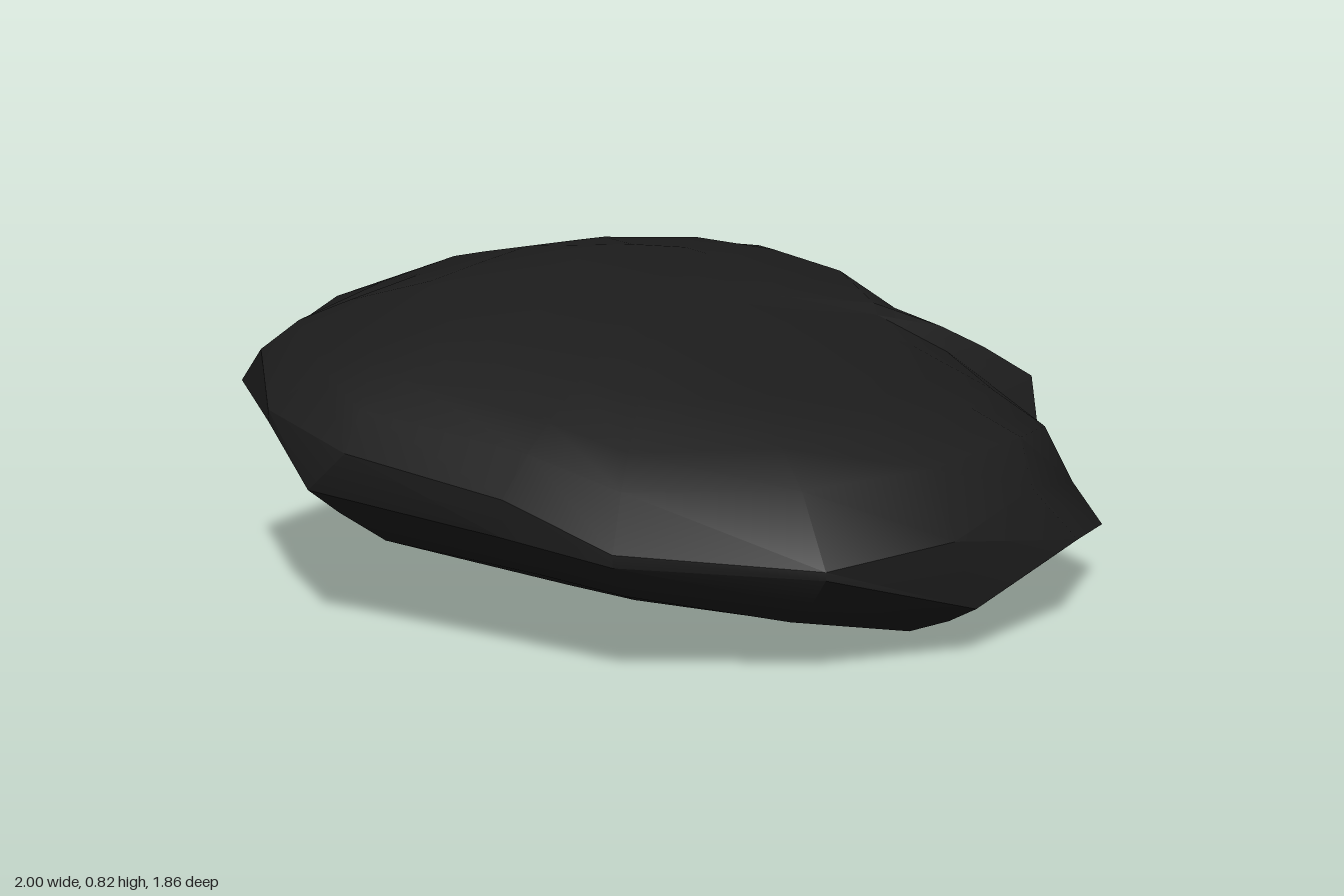
import * as THREE from 'three';
import { toCreasedNormals } from 'three/addons/utils/BufferGeometryUtils.js';

// Chipped rim, clockwise from the back: [x, z, yHigh, yLow, inset x, inset z of the upper edge]
const RIM = [
  [0.09, -0.93, 0.665, 0.5, 0.04, 0.02],
  [0.52, -0.78, 0.64, 0.45, 0, 0],
  [0.65, -0.61, 0.62, 0.43, 0, 0],
  [0.81, -0.55, 0.56, 0.42, -0.08, 0.03],
  [1, -0.22, 0.51, 0.37, -0.02, 0],
  [1, 0.11, 0.47, 0.31, 0, 0],
  [1, 0.15, 0.33, 0.19, 0, 0],
  [1, 0.46, 0.28, 0.155, -0.1, 0.01],
  [0.72, 0.77, 0.365, 0.23, -0.12, -0.02],
  [0.38, 0.87, 0.31, 0.13, -0.08, 0.03],
  [-0.05, 0.93, 0.29, 0.27, 0, 0],
  [-0.48, 0.73, 0.33, 0.3, 0, 0],
  [-0.65, 0.5, 0.42, 0.33, 0, 0],
  [-0.97, 0.07, 0.48, 0.375, 0.06, 0.1],
  [-1, -0.13, 0.53, 0.5, 0, 0],
  [-0.94, -0.55, 0.61, 0.51, 0.02, 0.11],
  [-0.64, -0.675, 0.68, 0.49, 0, 0],
  [-0.36, -0.79, 0.7, 0.5, 0, 0],
];

// Height profiles: crest and keel run along z; drop, shoulder and rise run along x
const CREST = [[-0.91, 0.665], [-0.67, 0.785], [-0.37, 0.835], [-0.27, 0.83], [-0.1, 0.79], [0.2, 0.7], [0.64, 0.545], [0.81, 0.43], [0.93, 0.28]];
const DROP = [[-1, 0.31], [-0.96, 0.25], [-0.78, 0.165], [-0.6, 0.08], [-0.15, 0], [0.2, 0], [0.56, 0.05], [0.8, 0.14], [1, 0.26]];
const SHOULDER = [[0.2, 0.835], [0.56, 0.765], [0.64, 0.66], [0.75, 0.62], [0.98, 0.51]];
const KEEL = [[-0.93, 0.51], [-0.8, 0.35], [-0.62, 0.22], [-0.29, 0.09], [0.02, 0.02], [0.4, 0], [0.72, 0.06], [0.86, 0.15], [0.93, 0.22]];
const RISE = [[-1, 0.41], [-0.97, 0.38], [-0.8, 0.245], [-0.46, 0.14], [0, 0.085], [0.36, 0.01], [0.81, 0.085], [1, 0.16]];

function sample(profile, t) {
  let i = 1;
  while (i < profile.length - 1 && t > profile[i][0]) i++;
  const [a, ya] = profile[i - 1];
  const [b, yb] = profile[i];
  return ya + (yb - ya) * THREE.MathUtils.clamp((t - a) / (b - a), 0, 1);
}
const topY = (x, z) => Math.min(sample(CREST, z) - sample(DROP, x), sample(SHOULDER, x));
const bottomY = (x, z) => Math.max(0, Math.hypot(sample(KEEL, z), sample(RISE, x)) - 0.02);

// The rim outline shrunk towards the middle, laid on a height function that eases into the rim
const innerRing = (scale, height, rimColumn, power) => RIM.map((p) => {
  const [x, z] = p;
  const ease = (p[rimColumn] - height(x, z)) * scale ** power;
  return [x * scale, height(x * scale, z * scale) + ease, z * scale];
});

function stoneGeometry() {
  const rings = [
    ...[0, 0.3, 0.55, 0.74, 0.86].map((s) => innerRing(s, topY, 2, 3)),
    RIM.map(([x, z, high, , dx, dz]) => [x + dx, high, z + dz]),
    RIM.map(([x, z, , low]) => [x, low, z]),
    ...[0.92, 0.8, 0.64, 0.45, 0.25, 0].map((s) => innerRing(s, bottomY, 3, 4)),
  ];
  const n = RIM.length;
  const index = [];
  for (let r = 0; r < rings.length - 1; r++) {
    for (let i = 0; i < n; i++) {
      const a = r * n + i;
      const b = r * n + (i + 1) % n;
      const c = b + n;
      const d = a + n;
      if (r > 0) index.push(a, b, d);
      if (r < rings.length - 2) index.push(b, c, d);
    }
  }
  const geometry = new THREE.BufferGeometry();
  geometry.setAttribute('position', new THREE.Float32BufferAttribute(rings.flat(2), 3));
  geometry.setIndex(index);
  return toCreasedNormals(geometry, THREE.MathUtils.degToRad(42));
}

export function createModel() {
  const group = new THREE.Group();
  group.name = 'rock';
  const darkStone = new THREE.MeshStandardMaterial({ color: 0x1b1b1b });
  darkStone.name = 'dark stone';

  // Tilted slab of stone with a chipped rim
  const slab = new THREE.Mesh(stoneGeometry(), darkStone);
  slab.name = 'stoneSlab';
  group.add(slab);
  return group;
}
